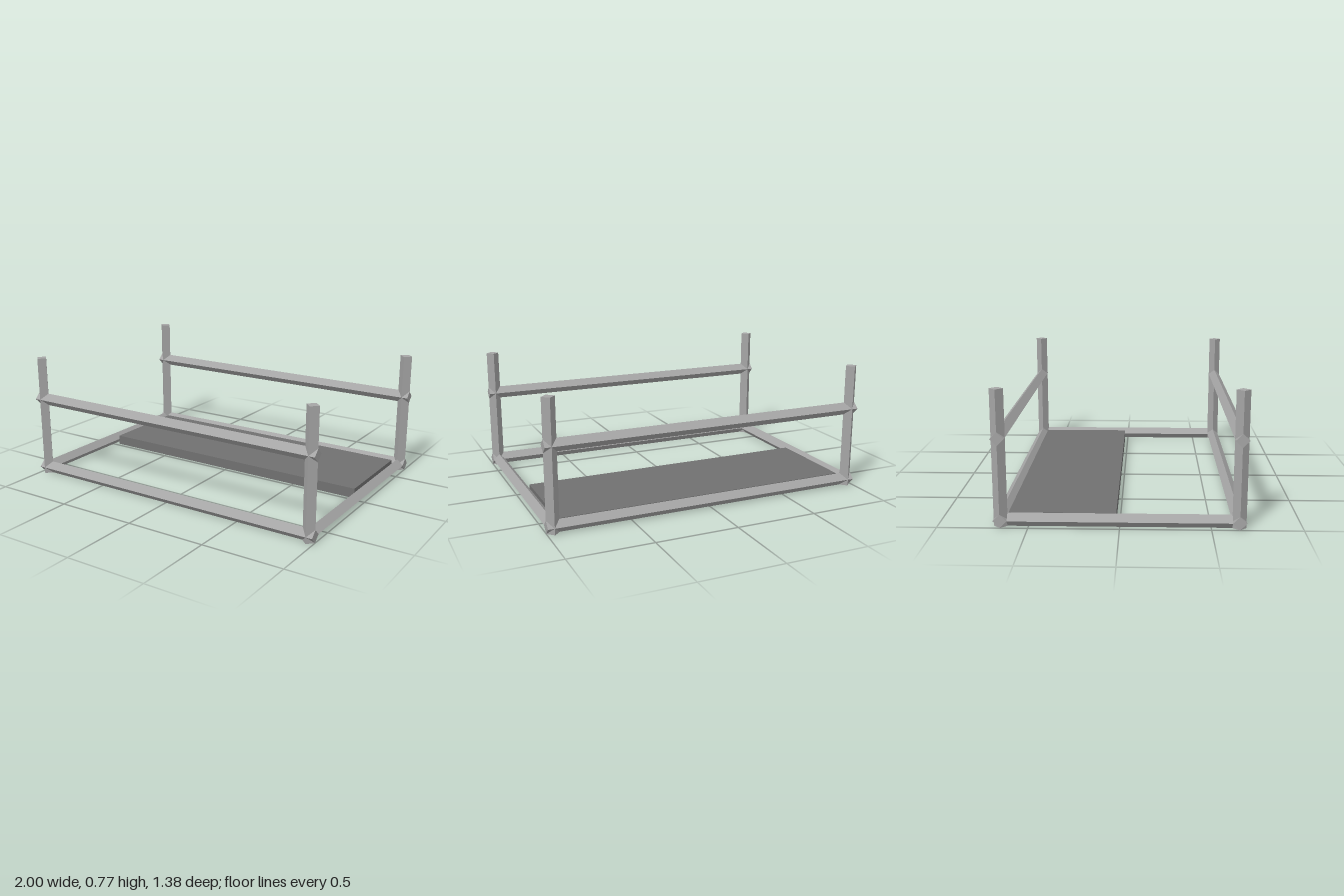
import * as THREE from 'three';

const R = 0.0385;            // half-diagonal of the square bars
const X = 0.9615, Z = 0.653; // post centre lines
const TOP = 0.77;

export function createModel() {
  const group = new THREE.Group();
  const frameGrey = new THREE.MeshStandardMaterial({ color: 0xa5a5a5, flatShading: true });
  frameGrey.name = 'frameGrey';
  const panelGrey = new THREE.MeshStandardMaterial({ color: 0x707070, flatShading: true });
  panelGrey.name = 'panelGrey';

  function add(name, geometry, material, x, y, z) {
    const mesh = new THREE.Mesh(geometry, material);
    mesh.name = name;
    mesh.position.set(x, y, z);
    group.add(mesh);
  }

  // Square bar standing on its edge (diamond section), along y
  const bar = (length) => new THREE.CylinderGeometry(R, R, length, 4);

  // Corner posts
  for (const x of [-X, X]) for (const z of [-Z, Z]) {
    add('cornerPost', bar(TOP), frameGrey, x, TOP / 2, z);
  }

  // Long rails, front and back, running through the posts
  for (const z of [-Z, Z]) {
    add('lowerRail', bar(2).rotateZ(Math.PI / 2), frameGrey, 0, R, z);
    add('upperRail', bar(2).rotateZ(Math.PI / 2), frameGrey, 0, 0.501, z);
  }

  // Short side rails between the posts
  for (const x of [-X, X]) {
    add('sideRail', bar(2 * (Z - R)).rotateX(Math.PI / 2), frameGrey, x, R, 0);
  }

  // Floor panel over the rear half
  add('floorPanel', new THREE.BoxGeometry(1.846, 0.062, 0.595), panelGrey, 0, 0.033, -0.3175);

  return group;
}
